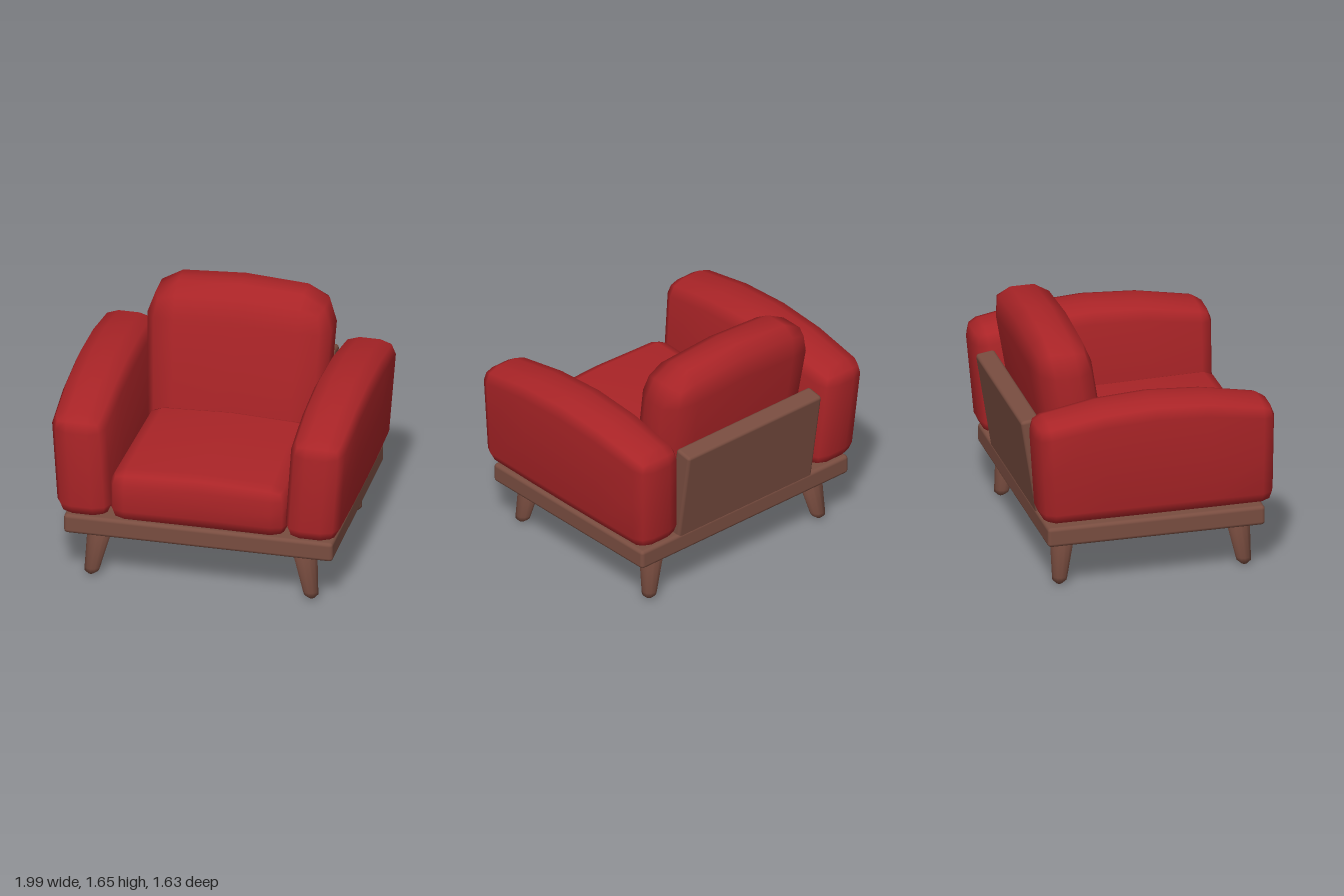
import * as THREE from 'three';
import { mergeVertices } from 'three/addons/utils/BufferGeometryUtils.js';
import { RoundedBoxGeometry } from 'three/addons/geometries/RoundedBoxGeometry.js';

const AXES = ['x', 'y', 'z'];

// Soft block with chamfered edges: half sizes, edge radii and inner spans per axis.
// bend(p, n) reshapes each point p, where n is its place in the block from -1 to 1.
function cushionGeometry(half, radius, spans, bend) {
  const segs = spans.map((s) => s + 2);
  let geo = new THREE.BoxGeometry(2, 2, 2, ...segs);
  geo.deleteAttribute('normal');
  geo.deleteAttribute('uv');
  const pos = geo.attributes.position;
  const p = new THREE.Vector3();
  for (let i = 0; i < pos.count; i++) {
    p.fromBufferAttribute(pos, i);
    const inner = new THREE.Vector3();
    const dir = new THREE.Vector3();
    AXES.forEach((a, k) => {
      const step = Math.round(((p[a] + 1) / 2) * segs[k]);
      const flat = half[k] - radius[k];
      if (step === 0 || step === segs[k]) {
        dir[a] = Math.sign(p[a]);
        inner[a] = flat * dir[a];
      } else {
        inner[a] = flat * (((step - 1) / spans[k]) * 2 - 1);
      }
    });
    dir.normalize();
    AXES.forEach((a, k) => { p[a] = inner[a] + radius[k] * dir[a]; });
    const n = new THREE.Vector3(p.x / half[0], p.y / half[1], p.z / half[2]);
    bend(p, n);
    pos.setXYZ(i, p.x, p.y, p.z);
  }
  geo = mergeVertices(geo, 1e-4);
  geo.computeVertexNormals();
  return geo;
}

export function createModel() {
  const model = new THREE.Group();
  model.name = 'armchair';
  const fabric = new THREE.MeshStandardMaterial({ color: 0xaa2427 });
  fabric.name = 'red fabric';
  const wood = new THREE.MeshStandardMaterial({ color: 0x794d40 });
  wood.name = 'brown wood';

  const add = (name, geo, mat, x = 0, y = 0, z = 0) => {
    const mesh = new THREE.Mesh(geo, mat);
    mesh.name = name;
    mesh.position.set(x, y, z);
    model.add(mesh);
    return mesh;
  };

  // Wooden base slab and leaning back board
  add('base', new RoundedBoxGeometry(1.8, 0.135, 1.465, 2, 0.025), wood, 0, 0.4025, 0.0175);
  const board = add('backBoard', new RoundedBoxGeometry(1.16, 0.7, 0.13, 2, 0.022), wood, 0, 0.768, -0.696);
  board.rotation.x = -0.157;

  // Tapered legs, splayed outward
  for (const sx of [-1, 1]) {
    for (const [sz, zFoot] of [[1, 0.65], [-1, -0.6]]) {
      const profile = [[0, 0], [0.022, 0.012], [0.048, 0.035], [0.052, 0.06], [0.086, 0.35], [0, 0.35]];
      const geo = new THREE.LatheGeometry(profile.map(([r, y]) => new THREE.Vector2(r, y)), 12);
      const pos = geo.attributes.position;
      for (let i = 0; i < pos.count; i++) {
        const t = pos.getY(i) / 0.335;
        pos.setX(i, pos.getX(i) - sx * 0.055 * t);
        pos.setZ(i, pos.getZ(i) - sz * 0.035 * t);
      }
      const side = sx > 0 ? 'Left' : 'Right';
      add((sz > 0 ? 'front' : 'back') + side + 'Leg', geo, wood, sx * 0.74, 0, zFoot);
    }
  }

  // Arms: arched along the top, leaning outward, back end raked
  for (const s of [-1, 1]) {
    const geo = cushionGeometry([0.195, 0.357, 0.8], [0.12, 0.09, 0.09], [2, 2, 4], (p, n) => {
      p.x = p.x * (1 - 0.09 * n.z * n.z) + s * 0.024 * n.y;
      p.y += 0.11 * (1 - n.z * n.z) * (n.y + 1) / 2;
      p.z = n.z > 0 ? n.z * 0.815 : n.z * (0.778 + 0.028 * n.y);
    });
    add(s > 0 ? 'leftArm' : 'rightArm', geo, fabric, s * 0.782, 0.842, 0);
  }

  // Seat cushion: crowned top, narrower toward the back
  const seat = cushionGeometry([0.6, 0.18, 0.52], [0.11, 0.09, 0.09], [2, 2, 2], (p, n) => {
    p.x *= 0.96 + 0.04 * n.z;
    p.y += 0.03 * (1 - n.x * n.x) * (n.y + 1) / 2;
  });
  add('seatCushion', seat, fabric, 0, 0.65, 0.27);

  // Back cushion: wide rounded shoulders, leaning back, narrower at the bottom
  const back = cushionGeometry([0.61, 0.56, 0.21], [0.2, 0.2, 0.13], [2, 2, 2], (p, n) => {
    p.x *= 0.98 + 0.045 * n.y;
    p.z -= 0.17 * (p.y - 0.26);
    p.y += 0.06 * (1 - n.x * n.x) * (n.y + 1) / 2;
  });
  add('backCushion', back, fabric, 0, 1.035, -0.49);

  return model;
}
